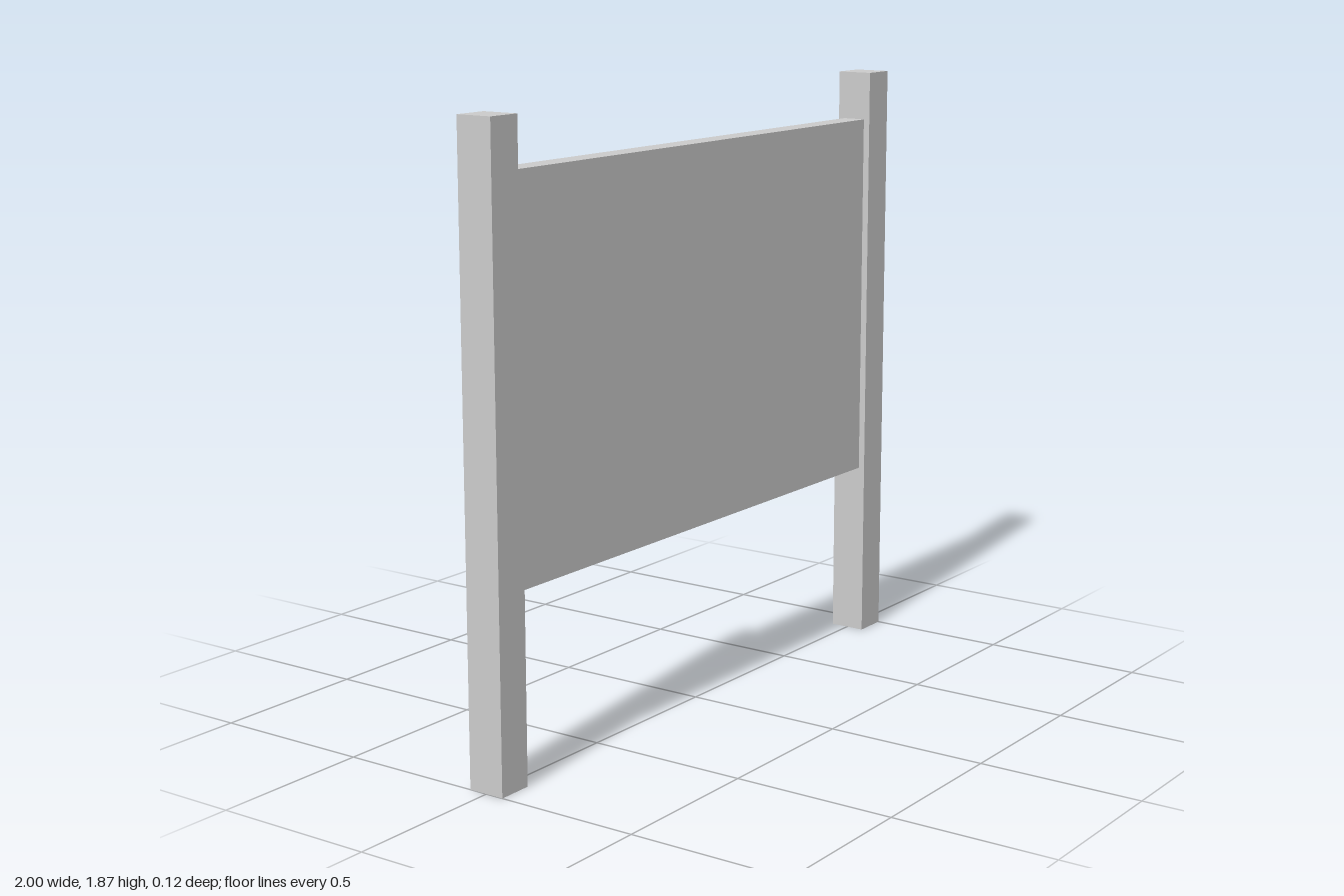
import * as THREE from 'three';

const HEIGHT = 1.87, POST_W = 0.11, POST_D = 0.115;
const PANEL_BOTTOM = 0.56, PANEL_TOP = 1.72, PANEL_D = 0.074;

// Square post, hollow and open at the foot
function postGeometry() {
  const geometry = new THREE.BoxGeometry(POST_W, HEIGHT, POST_D);
  const index = Array.from(geometry.index.array);
  index.splice(18, 6); // drop the bottom face
  geometry.setIndex(index);
  geometry.clearGroups();
  return geometry.translate(0, HEIGHT / 2, 0);
}

export function createModel() {
  const group = new THREE.Group();
  group.name = 'signBoard';
  const material = new THREE.MeshStandardMaterial({ color: 0xcccccc });
  const openMaterial = new THREE.MeshStandardMaterial({ color: 0xcccccc, side: THREE.DoubleSide });

  // Two posts, one at each end
  const geometry = postGeometry();
  for (const [name, side] of [['leftPost', 1], ['rightPost', -1]]) {
    const post = new THREE.Mesh(geometry, openMaterial);
    post.name = name;
    post.position.x = side * (1 - POST_W / 2);
    group.add(post);
  }

  // Board spanning between the posts
  const panel = new THREE.Mesh(
    new THREE.BoxGeometry(2 - 2 * POST_W, PANEL_TOP - PANEL_BOTTOM, PANEL_D), material);
  panel.name = 'panel';
  panel.position.y = (PANEL_TOP + PANEL_BOTTOM) / 2;
  group.add(panel);

  return group;
}
